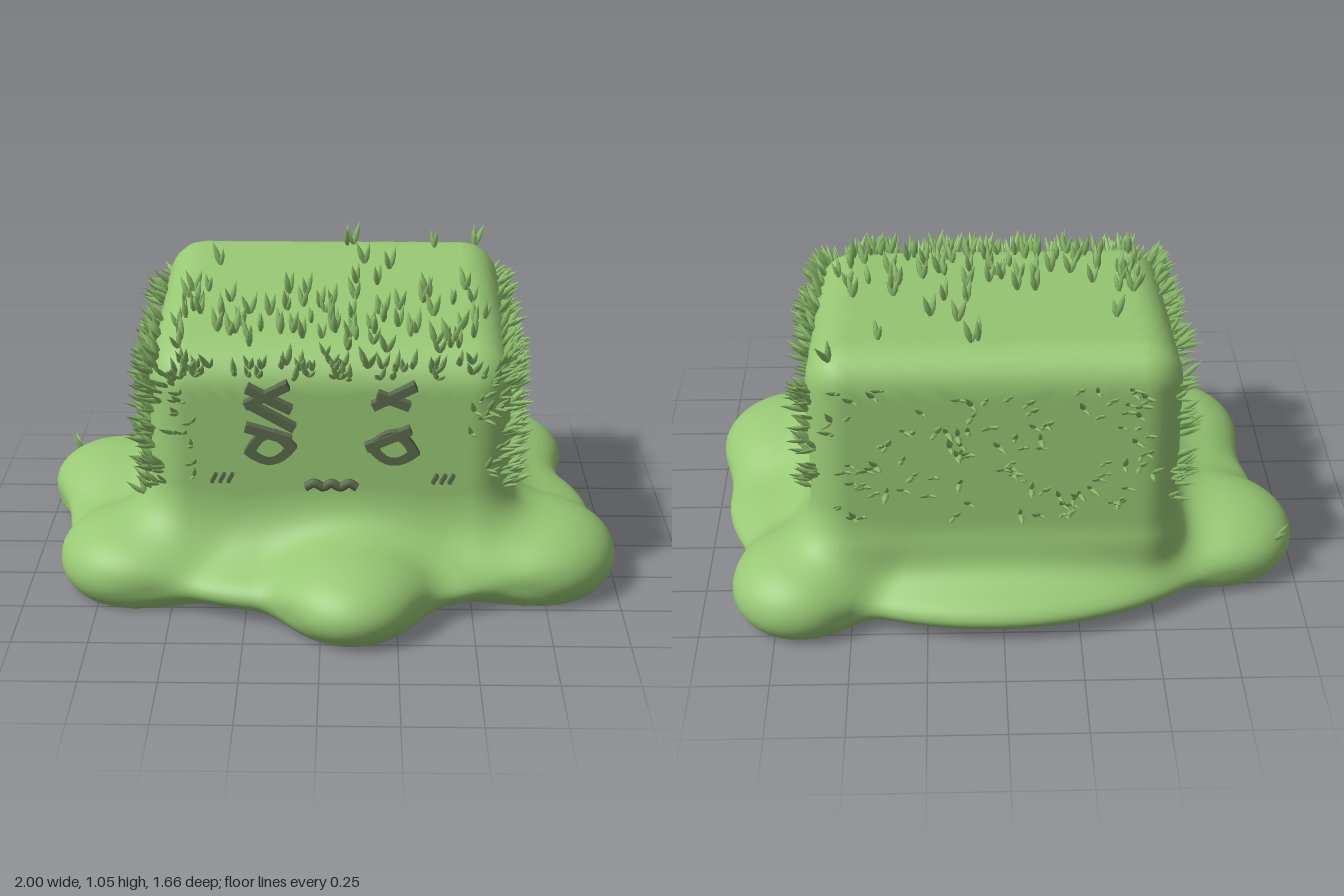
import * as THREE from 'three';
import { mergeGeometries } from 'three/addons/utils/BufferGeometryUtils.js';

const V = (x, y, z) => new THREE.Vector3(x, y, z);
const ORIGIN = V(0.02, 0.09, -0.1);

// Skirt disc and its five feet: centre, radii
const SKIRT = [0.02, 0.085, -0.08, 0.93, 0.155, 0.735];
const FEET = [
  [0.1, 0.095, 0.58, 0.23, 0.14, 0.25],
  [0.74, 0.1, 0.25, 0.26, 0.165, 0.27],
  [0.67, 0.1, -0.6, 0.225, 0.15, 0.23],
  [-0.77, 0.1, -0.33, 0.23, 0.14, 0.24],
  [-0.64, 0.1, 0.31, 0.25, 0.155, 0.25],
];

function ellipsoid(p, [cx, cy, cz, rx, ry, rz]) {
  const x = (p.x - cx) / rx, y = (p.y - cy) / ry, z = (p.z - cz) / rz;
  const k0 = Math.hypot(x, y, z);
  return k0 * (k0 - 1) / (Math.hypot(x / rx, y / ry, z / rz) + 1e-6);
}

// Rounded block whose top slopes down to the front
function block(p) {
  const r = 0.13;
  const x = Math.abs(p.x - 0.025) - 0.6 + r;
  const y = Math.abs(p.y + 0.115 * p.z - 0.5) - 0.405 + r;
  const z = Math.abs(p.z + 0.12) - 0.52 + r;
  return Math.hypot(Math.max(x, 0), Math.max(y, 0), Math.max(z, 0))
    + Math.min(Math.max(x, y, z), 0) - r;
}

function blend(a, b, k) {
  const h = Math.max(k - Math.abs(a - b), 0) / k;
  return Math.min(a, b) - h * h * k / 4;
}

function field(p) {
  let d = ellipsoid(p, SKIRT);
  for (const f of FEET) d = blend(d, ellipsoid(p, f), 0.11);
  return Math.max(blend(d, block(p), 0.17), -p.y);
}

// Point where a ray from the origin leaves the body
function surface(dir) {
  let lo = 0, hi = 1.7;
  const p = V();
  for (let i = 0; i < 24; i++) {
    const mid = (lo + hi) / 2;
    p.copy(ORIGIN).addScaledVector(dir, mid);
    if (field(p) < 0) lo = mid; else hi = mid;
  }
  return p;
}

function normalAt(p) {
  const e = 0.002;
  const g = (x, y, z) => field(V(p.x + x, p.y + y, p.z + z)) - field(V(p.x - x, p.y - y, p.z - z));
  return V(g(e, 0, 0), g(0, e, 0), g(0, 0, e)).normalize();
}

// Sphere pushed out to the blended surface, rows packed around the skirt
function bodyGeometry() {
  const geo = new THREE.SphereGeometry(1, 192, 144);
  const pos = geo.attributes.position, nor = geo.attributes.normal;
  for (let i = 0; i < pos.count; i++) {
    const d = V().fromBufferAttribute(pos, i);
    const u = Math.asin(THREE.MathUtils.clamp(d.y, -1, 1)) / (Math.PI / 2);
    const e = (Math.PI / 2) * (0.25 * u + 0.75 * u ** 3);
    const a = Math.atan2(d.z, d.x);
    const p = surface(V(Math.cos(e) * Math.cos(a), Math.sin(e), Math.cos(e) * Math.sin(a)));
    const n = normalAt(p);
    pos.setXYZ(i, p.x, p.y, p.z);
    nor.setXYZ(i, n.x, n.y, n.z);
  }
  return geo;
}

function grassGeometry() {
  let seed = 7;
  const rnd = () => (seed = (seed * 16807) % 2147483647) / 2147483647;
  const range = (a, b) => a + (b - a) * rnd();
  const leaf = new THREE.LatheGeometry([[0.004, 0], [0.011, 0.03], [0.009, 0.055], [0, 0.09]]
    .map(([x, y]) => new THREE.Vector2(x, y)), 5).scale(1, 1, 0.6);
  const blades = [];
  const up = V(0, 1, 0);

  // A tuft of two blades fanning out from one root
  function tuft(target) {
    const p = surface(target.sub(ORIGIN).normalize());
    const n = normalAt(p);
    const dir = n.clone().multiplyScalar(0.85).addScaledVector(up, 0.5).normalize();
    const side = V(range(-1, 1), range(-0.8, 0.8), range(-1, 1)).normalize();
    p.addScaledVector(n, -0.006);
    for (const s of [-1, 1]) {
      const d = dir.clone().addScaledVector(side, s * 0.35).normalize();
      const m = new THREE.Matrix4().compose(p,
        new THREE.Quaternion().setFromUnitVectors(up, d),
        V(1, 1, 1).multiplyScalar(range(0.7, 1.1)));
      blades.push(leaf.clone().applyMatrix4(m));
    }
  }
  const scatter = (count, pick) => { for (let i = 0; i < count; i++) tuft(pick()); };

  // Top: thick at the front, sparse at the back
  scatter(75, () => V(range(-0.5, 0.56), 0.9, range(-0.12, 0.38)));
  scatter(9, () => V(range(-0.5, 0.55), 0.94, range(-0.6, -0.15)));
  // Front: along the brow and both edges
  scatter(45, () => V(range(-0.5, 0.55), range(0.78, 0.87), 0.4));
  for (const s of [-1, 1]) {
    const x = 0.025 + s * 0.6;
    scatter(22, () => V(0.025 + s * range(0.43, 0.58), range(0.4, 0.85), 0.38));
    // Flanks: thick towards the front, with a band at the back corner
    scatter(125, () => V(x, range(0.4, 0.88), range(-0.08, 0.38)));
    scatter(16, () => V(x, range(0.4, 0.88), range(-0.45, -0.08)));
    scatter(25, () => V(x, range(0.4, 0.85), range(-0.63, -0.5)));
    scatter(4, () => V(x, range(0.3, 0.4), range(0.15, 0.38)));
  }
  // Back wall
  scatter(110, () => V(range(-0.5, 0.55), range(0.38, 0.86), -0.64));
  // Stray tuft on a foot
  tuft(V(-0.94, 0.16, -0.48));
  return mergeGeometries(blades);
}

export function createModel() {
  const group = new THREE.Group();
  const mat = (name, color) => {
    const m = new THREE.MeshStandardMaterial({ color });
    m.name = name;
    return m;
  };
  const green = mat('leaf green', 0x98c874);
  const grass = mat('grass green', 0x8fc06c);
  const dark = mat('dark moss', 0x5a6a4c);
  const add = (name, geo, material, x = 0, y = 0, z = 0) => {
    const m = new THREE.Mesh(geo, material);
    m.name = name;
    m.position.set(x, y, z);
    group.add(m);
    return m;
  };

  add('body', bodyGeometry(), green);
  add('grassTufts', grassGeometry(), grass);

  // Straight bar on the face between two points
  const bar = (name, x1, y1, x2, y2, w = 0.028, depth = 0.07) => {
    const m = add(name, new THREE.BoxGeometry(Math.hypot(x2 - x1, y2 - y1), w, depth), dark,
      (x1 + x2) / 2, (y1 + y2) / 2, 0.4);
    m.rotation.z = Math.atan2(y2 - y1, x2 - x1);
  };

  // Brows and lids
  bar('rightBrowRising', -0.25, 0.695, -0.11, 0.765);
  bar('rightBrowFalling', -0.245, 0.755, -0.1, 0.68);
  bar('rightBrowLower', -0.235, 0.7, -0.09, 0.617);
  bar('leftBrowRising', 0.165, 0.695, 0.305, 0.765);
  bar('leftBrowFalling', 0.18, 0.735, 0.285, 0.695);
  bar('rightLid', -0.25, 0.62, -0.1, 0.575);
  bar('leftLid', 0.145, 0.55, 0.29, 0.613);

  // Almond eye rings
  const almond = (path, s) => path.moveTo(-0.088 * s, -0.01 * s)
    .quadraticCurveTo(0, 0.13 * s, 0.088 * s, -0.01 * s)
    .quadraticCurveTo(0, -0.11 * s, -0.088 * s, -0.01 * s);
  const ring = almond(new THREE.Shape(), 1);
  ring.holes.push(almond(new THREE.Path(), 0.52));
  const eye = new THREE.ExtrudeGeometry(ring, { depth: 0.06, bevelEnabled: false, curveSegments: 8 });
  add('rightEye', eye, dark, -0.17, 0.55, 0.37).rotation.z = 0.12;
  add('leftEye', eye, dark, 0.235, 0.55, 0.37).rotation.z = -0.12;

  // Wavy mouth
  const wave = [-0.055, -0.025, 0.005, 0.03, 0.06, 0.09, 0.115]
    .map((x, i) => V(x, 0.41 + (i % 2 ? 0.009 : -0.006), 0.412));
  add('mouth', new THREE.TubeGeometry(new THREE.CatmullRomCurve3(wave), 30, 0.015, 6), dark);

  // Cheek marks
  for (const x of [-0.365, 0.365])
    for (let i = 0; i < 3; i++)
      bar('cheekMark', x + i * 0.027, 0.42, x + i * 0.027 + 0.016, 0.45, 0.012, 0.04);

  return group;
}
